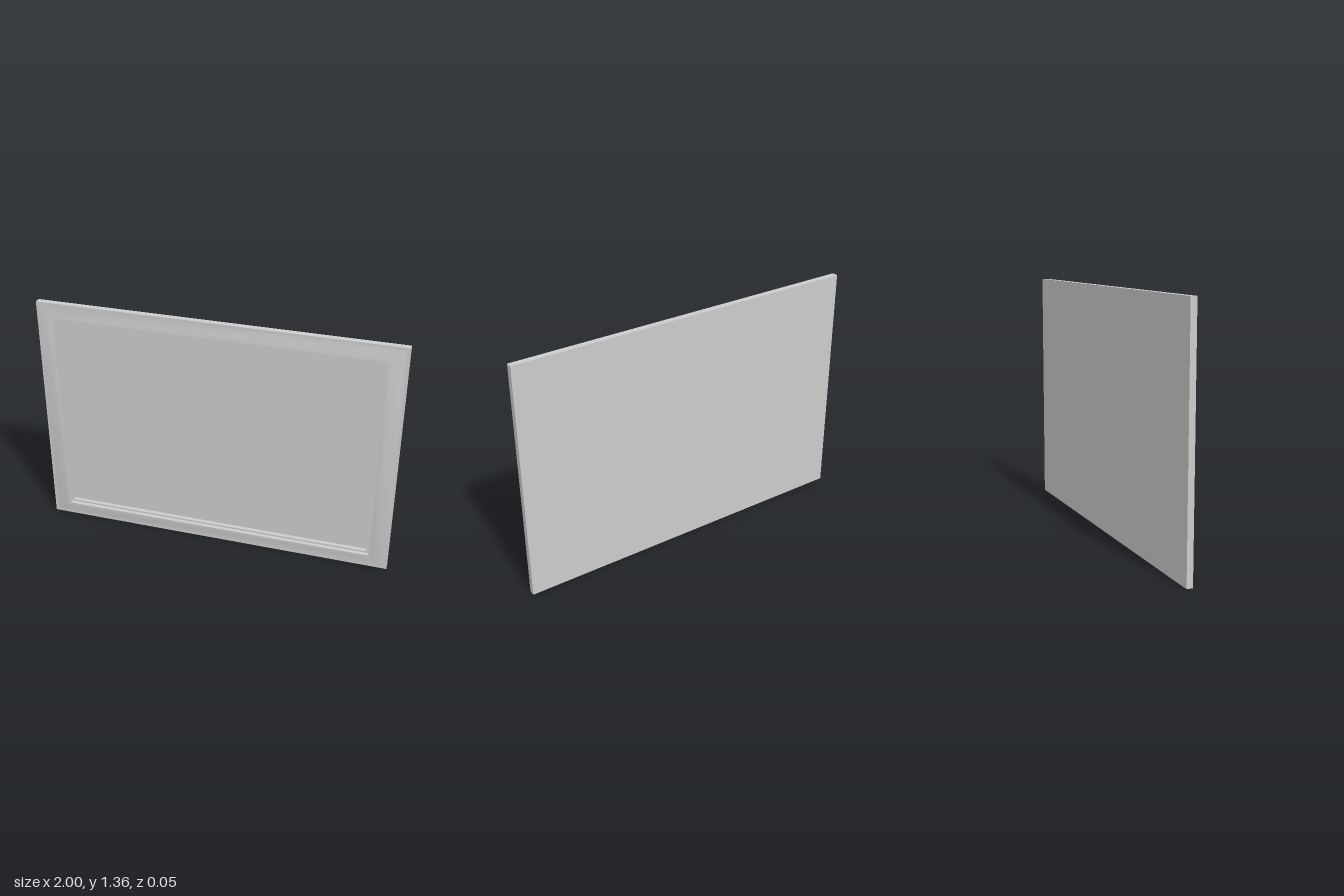
import * as THREE from 'three';
import { toCreasedNormals } from 'three/addons/utils/BufferGeometryUtils.js';

const W = 2, H = 1.36;
const BACK = -0.027, PANEL = -0.018;
const STRETCH = 1.25; // side rails are wider than top and bottom rails

// Rectangular moulding: mitred sweep of a profile of [inset, z] points
function mouldingGeometry(profile) {
  const corners = [[-1, -1], [1, -1], [1, 1], [-1, 1]];
  const positions = [], indices = [];
  for (const [inset, z] of profile) {
    for (const [sx, sy] of corners) {
      positions.push(sx * (W / 2 - inset * STRETCH), H / 2 + sy * (H / 2 - inset), z);
    }
  }
  for (let i = 0; i < profile.length - 1; i++) {
    for (let c = 0; c < 4; c++) {
      const n = (c + 1) % 4;
      const a = i * 4 + c, b = i * 4 + n, d = a + 4, e = b + 4;
      indices.push(a, b, e, a, e, d);
    }
  }
  const geometry = new THREE.BufferGeometry();
  geometry.setAttribute('position', new THREE.Float32BufferAttribute(positions, 3));
  geometry.setIndex(indices);
  return toCreasedNormals(geometry, 0.7);
}

export function createModel() {
  const group = new THREE.Group();
  group.name = 'pictureFrame';
  const material = new THREE.MeshStandardMaterial({ color: 0xcccccc });

  // Moulding: outer edge, flat border, slope, crest, stepped inner lip
  const frame = new THREE.Mesh(mouldingGeometry([
    [0, PANEL], [0, 0.007], [0.026, 0.007], [0.07, 0.027], [0.086, 0.027],
    [0.086, 0.005], [0.096, 0.005], [0.096, PANEL],
  ]), material);
  frame.name = 'frame';
  group.add(frame);

  // Board that closes the back and shows as the picture panel in the opening
  const board = new THREE.Mesh(new THREE.BoxGeometry(W, H, PANEL - BACK), material);
  board.name = 'backBoard';
  board.position.set(0, H / 2, (PANEL + BACK) / 2);
  group.add(board);

  return group;
}
